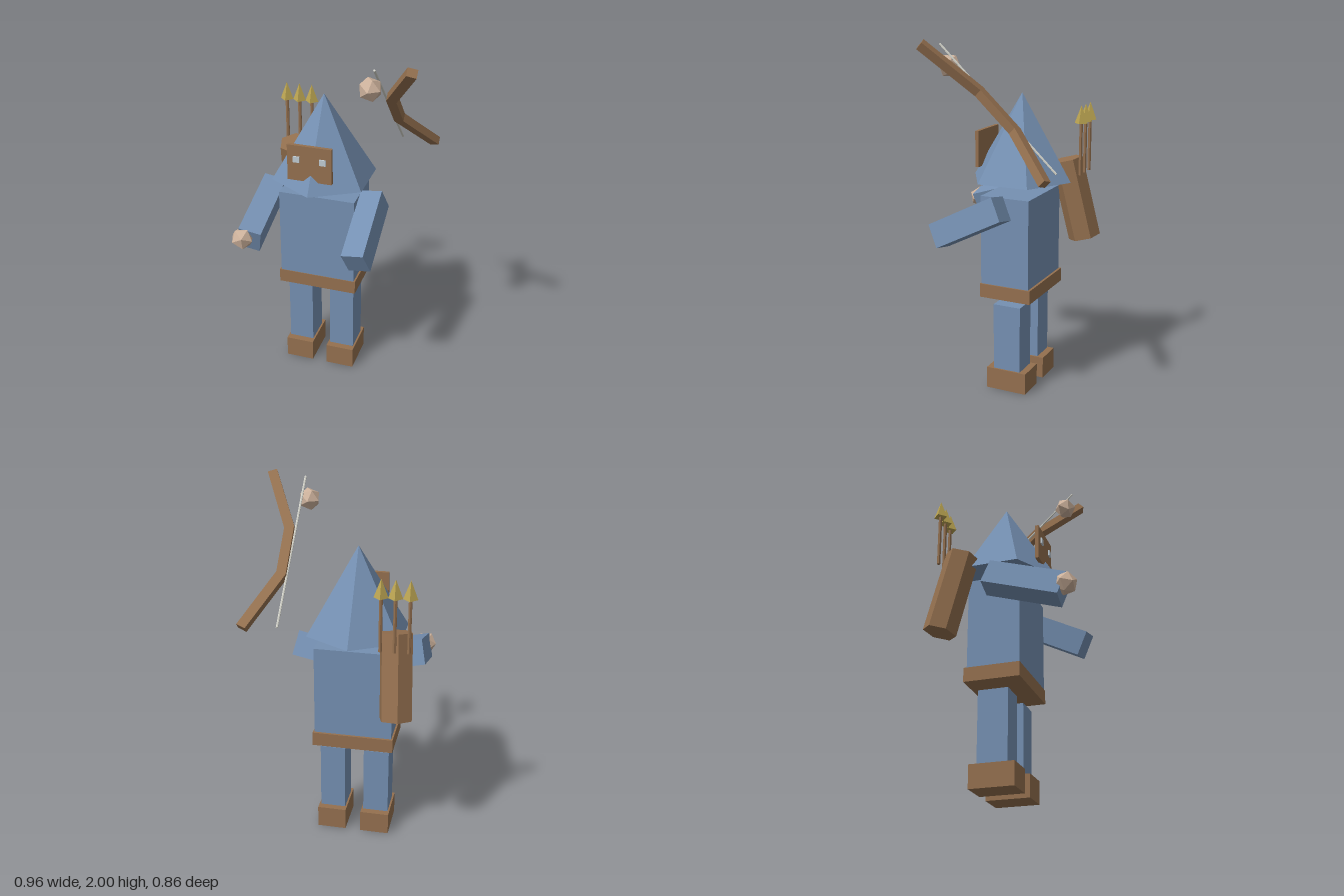
import * as THREE from 'three';

const material = (name, color) => {
  const m = new THREE.MeshStandardMaterial({ color });
  m.name = name;
  return m;
};

export function createModel() {
  const cloth = material('blue cloth', 0x7590b2);
  const leather = material('brown leather', 0x94704f);
  const skin = material('pale skin', 0xcdb29c);
  const gold = material('gold', 0xbca552);
  const glass = material('pale eye', 0xc0ccd4);
  const cord = material('bowstring grey', 0xcfcfc6);

  const model = new THREE.Group();
  model.name = 'archer';

  const add = (parent, name, geometry, mat, x, y, z) => {
    // flat facets on every part
    const geo = geometry.index ? geometry.toNonIndexed() : geometry;
    geo.computeVertexNormals();
    const mesh = new THREE.Mesh(geo, mat);
    mesh.name = name;
    mesh.position.set(x, y, z);
    parent.add(mesh);
    return mesh;
  };
  const box = (parent, name, mat, w, h, d, x, y, z) =>
    add(parent, name, new THREE.BoxGeometry(w, h, d), mat, x, y, z);

  // Figure, turned very slightly about its own axis
  const figure = new THREE.Group();
  figure.name = 'figure';
  figure.position.set(-0.09, 0, -0.05);
  figure.rotation.y = -0.025;
  model.add(figure);

  box(figure, 'torso', cloth, 0.432, 0.51, 0.287, 0, 0.885, 0.005);
  box(figure, 'belt', leather, 0.452, 0.078, 0.305, 0, 0.596, 0);
  add(figure, 'hood', new THREE.ConeGeometry(0.293, 0.476, 6), cloth, 0, 1.45, 0);
  box(figure, 'mask', leather, 0.246, 0.203, 0.02, -0.007, 1.375, 0.221);
  for (const [side, s] of [['right', -1], ['left', 1]]) {
    box(figure, side + 'Leg', cloth, 0.143, 0.39, 0.163, s * 0.125, 0.318, 0);
    box(figure, side + 'Boot', leather, 0.163, 0.125, 0.241, s * 0.125, 0.0625, 0);
    box(figure, side + 'Eye', glass, 0.035, 0.033, 0.009, -0.005 + s * 0.073, 1.398, 0.2355);
  }

  // Arms: boxes aimed along a direction with a rolled up vector
  const arm = (name, centre, along, up) => {
    const z = new THREE.Vector3(...along).normalize();
    const x = new THREE.Vector3(...up).cross(z).normalize();
    const y = z.clone().cross(x);
    const mesh = box(model, name, cloth, 0.125, 0.139, 0.43, ...centre);
    mesh.quaternion.setFromRotationMatrix(new THREE.Matrix4().makeBasis(x, y, z));
  };
  arm('leftArm', [0.196, 1.003, 0.138], [-0.003, -0.195, 0.385], [-0.027, 0.122, 0.06]);
  arm('rightArm', [-0.39, 1.034, 0.15], [-0.005, -0.13, 0.405], [0.027, 0.13, 0.04]);

  // Hands
  const ball = () => new THREE.IcosahedronGeometry(0.063, 0);
  add(model, 'rightHand', ball(), skin, -0.423, 0.985, 0.372).rotation.set(0.2, 0.3, 0);
  add(model, 'leftHand', ball(), skin, 0.23, 1.85, 0.225).rotation.set(0.5, 0.2, 0.3);

  // Quiver, leaning on the back
  const bottom = new THREE.Vector3(-0.341, 0.838, -0.338);
  const top = new THREE.Vector3(-0.321, 1.29, -0.228);
  const axis = top.clone().sub(bottom);
  const quiver = add(model, 'quiver',
    new THREE.CylinderGeometry(0.092, 0.092, axis.length(), 6, 1, false, 0.24),
    leather, ...bottom.clone().lerp(top, 0.5).toArray());
  quiver.quaternion.setFromUnitVectors(new THREE.Vector3(0, 1, 0), axis.normalize());

  // Arrows
  for (const x of [-0.4, -0.325, -0.252]) {
    add(model, 'arrowShaft', new THREE.CylinderGeometry(0.01, 0.01, 0.3, 6), leather, x, 1.37, -0.335);
    add(model, 'arrowHead', new THREE.ConeGeometry(0.038, 0.1, 4), gold, x, 1.563, -0.335);
  }

  // Bow: outline in its own tilted plane
  const bow = new THREE.Group();
  bow.name = 'bow';
  bow.position.set(0, 1.65, -0.065);
  bow.rotation.x = 0.811;
  model.add(bow);
  const outline = new THREE.Shape([
    [0.268, -0.16], [0.431, -0.48], [0.479, -0.46], [0.32, -0.145],
    [0.32, 0.115], [0.467, 0.46], [0.419, 0.48], [0.268, 0.13],
  ].map(([x, y]) => new THREE.Vector2(x, y)));
  add(bow, 'bowStave', new THREE.ExtrudeGeometry(outline, { depth: 0.045, bevelEnabled: false }),
    leather, 0, 0, -0.0225);
  add(bow, 'bowString', new THREE.CylinderGeometry(0.006, 0.006, 0.91, 6), cord, 0.2645, 0, 0)
    .rotation.z = 0.014;

  return model;
}
